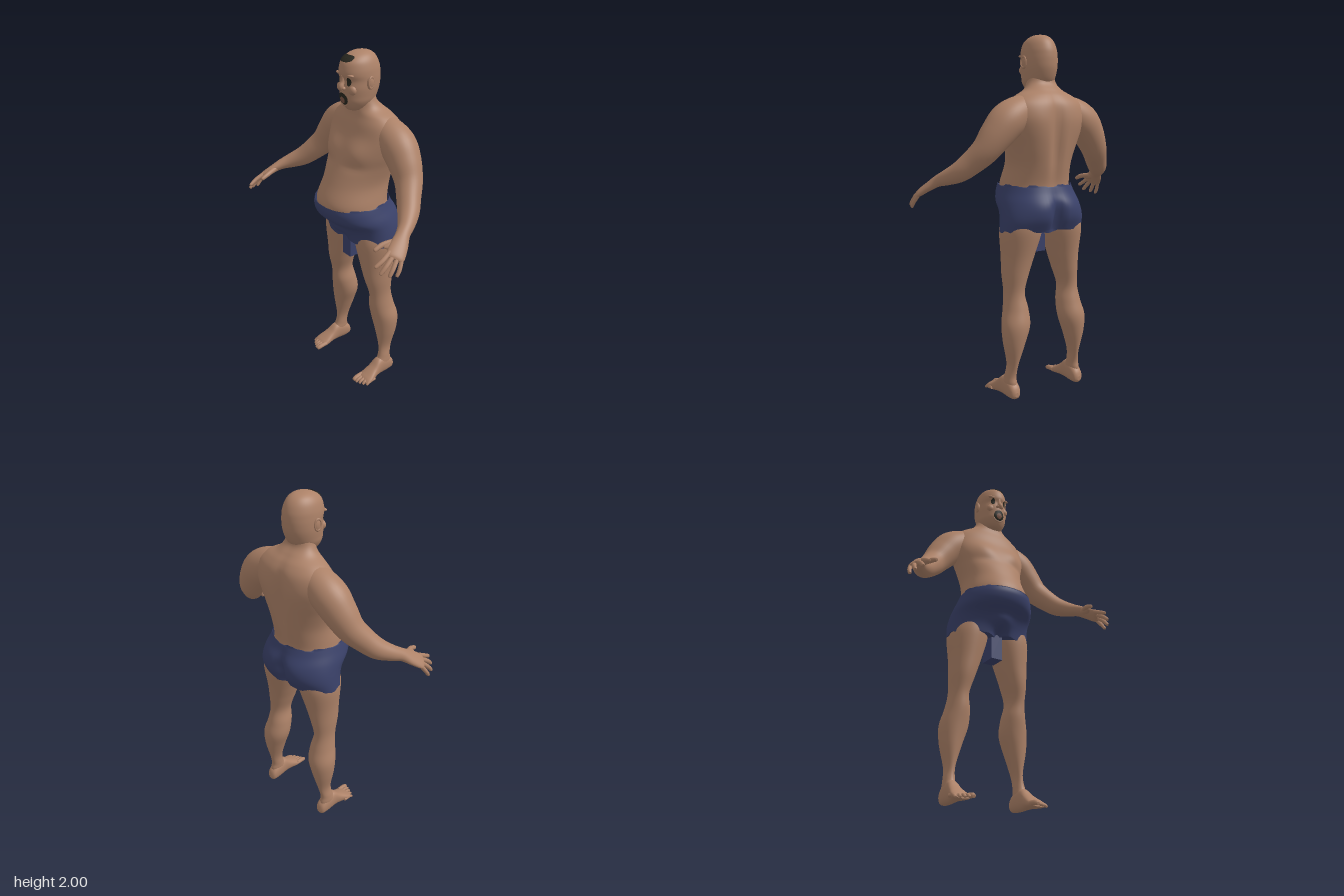
import * as THREE from 'three';

const makeMat = (name, color, side = THREE.FrontSide) => {
  const m = new THREE.MeshStandardMaterial({ color, side });
  m.name = name;
  return m;
};
const gauss = (v) => Math.exp(-v * v);
const spow = (v, e) => Math.sign(v) * Math.abs(v) ** e;

// Smooth interpolation of section rows, any number of values per row
function refine(rows, steps) {
  const out = [];
  for (let i = 0; i < rows.length - 1; i++) {
    const a = rows[Math.max(i - 1, 0)], b = rows[i], c = rows[i + 1], d = rows[Math.min(i + 2, rows.length - 1)];
    for (let s = 0; s < steps; s++) {
      const t = s / steps;
      out.push(b.map((v, k) => v + 0.5 * t * (c[k] - a[k]
        + t * (2 * a[k] - 5 * v + 4 * c[k] - d[k] + t * (3 * (v - c[k]) + d[k] - a[k])))));
    }
  }
  out.push(rows[rows.length - 1]);
  return out;
}

// Skin a list of closed rings with end caps; seams are shared so the normals stay smooth
function skinRings(rings, capTop = true) {
  const n = rings[0].length, pos = [], idx = [];
  rings.forEach((r) => r.forEach((p) => pos.push(p.x, p.y, p.z)));
  for (let i = 0; i < rings.length - 1; i++) {
    for (let j = 0; j < n; j++) {
      const a = i * n + j, b = i * n + (j + 1) % n;
      idx.push(a, b, a + n, b, b + n, a + n);
    }
  }
  (capTop ? [0, rings.length - 1] : [rings.length - 1]).forEach((r) => {
    const c = new THREE.Vector3(), base = pos.length / 3;
    rings[r].forEach((p) => {
      c.addScaledVector(p, 1 / n);
      pos.push(p.x, p.y, p.z);
    });
    pos.push(c.x, c.y, c.z);
    for (let j = 0; j < n; j++) {
      const a = base + j, b = base + (j + 1) % n;
      if (r === 0) idx.push(base + n, b, a); else idx.push(base + n, a, b);
    }
  });
  const g = new THREE.BufferGeometry();
  g.setAttribute('position', new THREE.Float32BufferAttribute(pos, 3));
  g.setIndex(idx);
  g.computeVertexNormals();
  return g;
}

// Upright form, top down: rows of [y, centreX, halfWidth, zFront, zBack]
function upright(rows, { e = 1, n = 48, steps = 6, capTop = true, deform } = {}) {
  const list = refine(rows, steps);
  return skinRings(list.map(([y, cx, rx, zf, zb], i) => Array.from({ length: n }, (_, j) => {
    const a = j / n * Math.PI * 2, c = Math.cos(a), s = Math.sin(a);
    const p = new THREE.Vector3(cx + rx * spow(c, e), y, (zf + zb) / 2 + (zf - zb) / 2 * spow(s, e));
    if (deform) deform(p, s, i / (list.length - 1), j);
    return p;
  })), capTop);
}

// Limb along a path: rows of [x, y, z, halfWidth, halfThickness]
function limb(rows, side, n = 20, steps = 5) {
  const list = refine(rows, steps), at = (i) => new THREE.Vector3(...list[i].slice(0, 3));
  return skinRings(list.map((r, i) => {
    const t = at(Math.min(i + 1, list.length - 1)).sub(at(Math.max(i - 1, 0))).normalize();
    const u = side.clone().addScaledVector(t, -side.dot(t)).normalize();
    const v = t.clone().cross(u);
    return Array.from({ length: n }, (_, j) => {
      const a = j / n * Math.PI * 2;
      return at(i).addScaledVector(u, r[3] * Math.cos(a)).addScaledVector(v, r[4] * Math.sin(a));
    });
  }));
}

// Tapered finger or toe through three points
function digit(a, b, c, r, side) {
  const end = c.map((v, k) => v + (c[k] - b[k]) * 0.12);
  return limb([[...a, r, r], [...b, r, r], [...c, r * 0.8, r * 0.75], [...end, r * 0.25, r * 0.25]], side, 10, 4);
}

const blob = (x, y, z, rx, ry, rz) => new THREE.SphereGeometry(1, 20, 14).scale(rx, ry, rz).translate(x, y, z);

function flipX(g) {
  const m = g.clone().scale(-1, 1, 1), ix = m.index.array;
  for (let i = 0; i < ix.length; i += 3) [ix[i], ix[i + 1]] = [ix[i + 1], ix[i]];
  return m;
}

export function createModel() {
  const model = new THREE.Group();
  model.name = 'figure';
  const skin = makeMat('skin', 0xad8268);
  const cloth = makeMat('navy cloth', 0x3a4169, THREE.DoubleSide);
  const dark = makeMat('dark hair and openings', 0x28271f, THREE.DoubleSide);
  const tongueMat = makeMat('tongue brown', 0x7a5444, THREE.DoubleSide);
  const add = (name, g, mat = skin) => {
    const m = new THREE.Mesh(g, mat);
    m.name = name;
    model.add(m);
  };
  const pair = (name, g, mat) => {
    add(name + 'Left', g, mat);
    add(name + 'Right', flipX(g), mat);
  };

  // Torso with neck, sloping shoulders, chest, spine groove and belly
  add('torso', upright([
    [1.80, 0, 0.072, -0.05, -0.165], [1.745, 0, 0.086, -0.045, -0.17], [1.705, 0, 0.115, -0.04, -0.205],
    [1.67, 0, 0.18, -0.035, -0.24], [1.625, 0, 0.232, -0.02, -0.266], [1.56, 0, 0.25, 0.0, -0.276],
    [1.48, 0, 0.23, 0.036, -0.276], [1.40, 0, 0.202, 0.066, -0.27], [1.30, 0, 0.18, 0.112, -0.255],
    [1.20, 0, 0.19, 0.157, -0.235], [1.14, 0, 0.195, 0.145, -0.235], [1.07, 0, 0.19, 0.1, -0.23]
  ], { e: 0.94, n: 64, deform: (p, s) => {
    const ax = Math.abs(p.x);
    if (s > 0) {
      p.z += s * 0.016 * gauss((ax - 0.11) / 0.07) * gauss((p.y - 1.49) / 0.06);
      p.z -= s * 0.007 * gauss((ax - 0.11) / 0.07) * gauss((p.y - 1.41) / 0.025);
    } else {
      p.z -= s * 0.03 * gauss(p.x / 0.03) * gauss((p.y - 1.42) / 0.2);
      p.z += s * 0.01 * gauss((ax - 0.13) / 0.07) * gauss((p.y - 1.53) / 0.09);
    }
  } }));

  // Shorts with ragged edges, a dip under the belly and a cleft behind
  const tooth = (j) => (Math.floor(j / 3) % 3 - 1) * 0.006;
  add('shorts', upright([
    [1.19, 0, 0.203, 0.166, -0.24], [1.15, 0, 0.217, 0.168, -0.256], [1.10, 0, 0.234, 0.146, -0.28],
    [1.05, 0, 0.243, 0.085, -0.286], [1.0, 0, 0.25, 0.054, -0.28], [0.942, 0, 0.256, 0.036, -0.252]
  ], { e: 0.92, n: 72, capTop: false, deform: (p, s, t, j) => {
    if (t === 0) p.y += tooth(j) - 0.028 * Math.max(0, s) ** 6;
    if (t === 1) p.y += tooth(j);
    if (s < 0) {
      p.z -= s * 0.05 * gauss(p.x / 0.03) * gauss((p.y - 1.0) / 0.1);
      p.z += s * 0.012 * gauss((Math.abs(p.x) - 0.11) / 0.07) * gauss((p.y - 1.06) / 0.07);
    } else {
      p.z += s * 0.02 * gauss(p.x / 0.06) * gauss((p.y - 1.02) / 0.035);
      p.z -= s * 0.05 * gauss(p.x / 0.035) * gauss((p.y - 0.94) / 0.04);
    }
  } }), cloth);
  add('shortsStrip', new THREE.BoxGeometry(0.07, 0.17, 0.1).translate(0, 0.893, -0.05), cloth);

  // Legs
  pair('leg', upright([
    [1.02, 0.13, 0.1, 0.02, -0.235], [0.94, 0.137, 0.114, 0.022, -0.236], [0.80, 0.154, 0.089, 0.003, -0.206],
    [0.70, 0.17, 0.071, -0.012, -0.19], [0.60, 0.182, 0.055, -0.038, -0.18], [0.51, 0.181, 0.069, -0.045, -0.2],
    [0.42, 0.191, 0.08, -0.06, -0.222], [0.32, 0.204, 0.06, -0.075, -0.212], [0.20, 0.211, 0.028, -0.09, -0.183],
    [0.13, 0.217, 0.03, -0.083, -0.168], [0.09, 0.219, 0.033, -0.06, -0.174], [0.05, 0.22, 0.03, -0.055, -0.17]
  ]));

  // Feet, heel to ball: rows of [z, centreX, halfWidth, top, bottom]
  pair('foot', skinRings(refine([
    [-0.193, 0.217, 0.01, 0.045, 0.02], [-0.178, 0.217, 0.03, 0.08, 0.005], [-0.13, 0.218, 0.037, 0.115, 0.001],
    [-0.075, 0.22, 0.036, 0.118, 0.003], [-0.03, 0.223, 0.042, 0.082, 0.005], [0.015, 0.227, 0.051, 0.053, 0.002],
    [0.04, 0.228, 0.05, 0.038, 0.002], [0.055, 0.226, 0.042, 0.026, 0.006]
  ], 5).map(([z, cx, rx, top, bot]) => Array.from({ length: 28 }, (_, j) => {
    const a = j / 28 * Math.PI * 2;
    return new THREE.Vector3(cx + rx * spow(Math.cos(a), 0.85), (top + bot) / 2 + (top - bot) / 2 * spow(Math.sin(a), 0.85), z);
  }))));
  const across = new THREE.Vector3(1, 0, 0);
  [0.098, 0.095, 0.086, 0.075, 0.06].forEach((z, i) => {
    const x = 0.188 + i * 0.0205, r = i ? 0.0095 : 0.014;
    pair('toe' + (i + 1), digit([x, 0.026, z - 0.07], [x, 0.022, z - 0.025], [x + 0.002, r + 0.001, z - 0.004], r, across));
  });

  // Arms growing out of the chest and running into the palms
  const palmSide = new THREE.Vector3(-0.66, 0.35, 0.7);
  pair('arm', limb([
    [0.05, 1.598, -0.145, 0.07, 0.07], [0.15, 1.588, -0.148, 0.088, 0.088], [0.24, 1.54, -0.15, 0.099, 0.099],
    [0.305, 1.467, -0.142, 0.09, 0.09], [0.362, 1.388, -0.122, 0.075, 0.075], [0.417, 1.322, -0.076, 0.064, 0.064],
    [0.465, 1.274, -0.032, 0.057, 0.056], [0.512, 1.242, 0.025, 0.044, 0.043], [0.543, 1.221, 0.075, 0.037, 0.031],
    [0.573, 1.19, 0.125, 0.046, 0.023], [0.6, 1.158, 0.172, 0.048, 0.018], [0.608, 1.149, 0.186, 0.038, 0.01]
  ], palmSide, 36));

  // Thumb with its base, and fingers
  pair('thumbBase', limb([[0.545, 1.218, 0.08, 0.012, 0.012], [0.548, 1.202, 0.115, 0.023, 0.018],
    [0.545, 1.19, 0.16, 0.022, 0.015], [0.535, 1.187, 0.19, 0.008, 0.006]], palmSide, 14));
  [
    ['thumb', [0.545, 1.203, 0.12], [0.522, 1.194, 0.185], [0.516, 1.177, 0.233], 0.014],
    ['indexFinger', [0.574, 1.178, 0.185], [0.582, 1.15, 0.24], [0.578, 1.128, 0.28], 0.0125],
    ['middleFinger', [0.592, 1.165, 0.177], [0.605, 1.128, 0.236], [0.604, 1.097, 0.27], 0.0125],
    ['ringFinger', [0.608, 1.155, 0.165], [0.627, 1.115, 0.21], [0.632, 1.084, 0.236], 0.012],
    ['littleFinger', [0.622, 1.147, 0.15], [0.639, 1.105, 0.178], [0.643, 1.076, 0.198], 0.011]
  ].forEach(([name, a, b, c, r]) => pair(name, digit(a, b, c, r, palmSide)));

  // Head
  const headRows = [
    [2.0, 0, 0.012, -0.078, -0.102], [1.995, 0, 0.036, -0.045, -0.135], [1.98, 0, 0.06, -0.01, -0.163],
    [1.955, 0, 0.078, 0.02, -0.184], [1.92, 0, 0.089, 0.032, -0.198], [1.89, 0, 0.093, 0.034, -0.202],
    [1.86, 0, 0.094, 0.024, -0.202], [1.82, 0, 0.094, 0.029, -0.198], [1.78, 0, 0.089, 0.026, -0.185],
    [1.75, 0, 0.083, 0.022, -0.168], [1.72, 0, 0.066, 0.008, -0.14], [1.70, 0, 0.043, -0.01, -0.105],
    [1.692, 0, 0.012, -0.035, -0.07]
  ];
  add('head', upright(headRows, { steps: 5 }));
  const headFine = refine(headRows, 24);
  const faceZ = (x, y) => {
    const r = headFine.reduce((b, q) => (Math.abs(q[0] - y) < Math.abs(b[0] - y) ? q : b));
    return (r[3] + r[4]) / 2 + (r[3] - r[4]) / 2 * Math.sqrt(Math.max(0, 1 - (x / r[2]) ** 2));
  };

  // Thin painted patches laid on the head surface
  const patch = (cx, cy, rx, ry, lift, e = 1) => {
    const g = new THREE.RingGeometry(0.001, 1, 32, 6), p = g.attributes.position;
    for (let i = 0; i < p.count; i++) {
      const l = Math.hypot(p.getX(i), p.getY(i));
      const x = cx + rx * l * spow(p.getX(i) / l, e), y = cy + ry * l * spow(p.getY(i) / l, e);
      p.setXYZ(i, x, y + lift / 2, faceZ(x, y) + lift);
    }
    g.computeVertexNormals();
    return g;
  };
  add('hairPatch', patch(0, 1.969, 0.043, 0.015, 0.004, 0.75), dark);
  pair('eye', patch(0.04, 1.858, 0.011, 0.022, 0.004), dark);
  add('mouth', patch(0, 1.762, 0.034, 0.034, 0.004), dark);
  add('tongue', patch(0, 1.755, 0.018, 0.018, 0.007), tongueMat);

  // Nose, brows, cheeks, lower lip and ears
  add('nose', limb([[0, 1.885, 0.024, 0.01, 0.01], [0, 1.855, 0.027, 0.011, 0.012],
    [0, 1.83, 0.037, 0.015, 0.016], [0, 1.814, 0.033, 0.011, 0.011]], across, 16));
  pair('nostril', blob(0.014, 1.823, 0.03, 0.01, 0.009, 0.012));
  pair('brow', blob(0.04, 1.892, 0.013, 0.03, 0.008, 0.013));
  pair('cheek', blob(0.046, 1.815, 0.0, 0.026, 0.026, 0.02));
  const lipPath = Array.from({ length: 9 }, (_, i) => {
    const a = Math.PI * (1.15 + i / 8 * 0.7), x = 0.035 * Math.cos(a), y = 1.762 + 0.034 * Math.sin(a);
    return new THREE.Vector3(x, y, faceZ(x, y));
  });
  add('lowerLip', new THREE.TubeGeometry(new THREE.CatmullRomCurve3(lipPath), 24, 0.006, 8));
  pair('ear', blob(0.094, 1.85, -0.08, 0.011, 0.034, 0.022));
  pair('earRim', new THREE.TorusGeometry(0.019, 0.005, 8, 24).scale(1, 1.5, 1).rotateY(Math.PI / 2 + 0.2).translate(0.099, 1.852, -0.081));

  return model;
}
